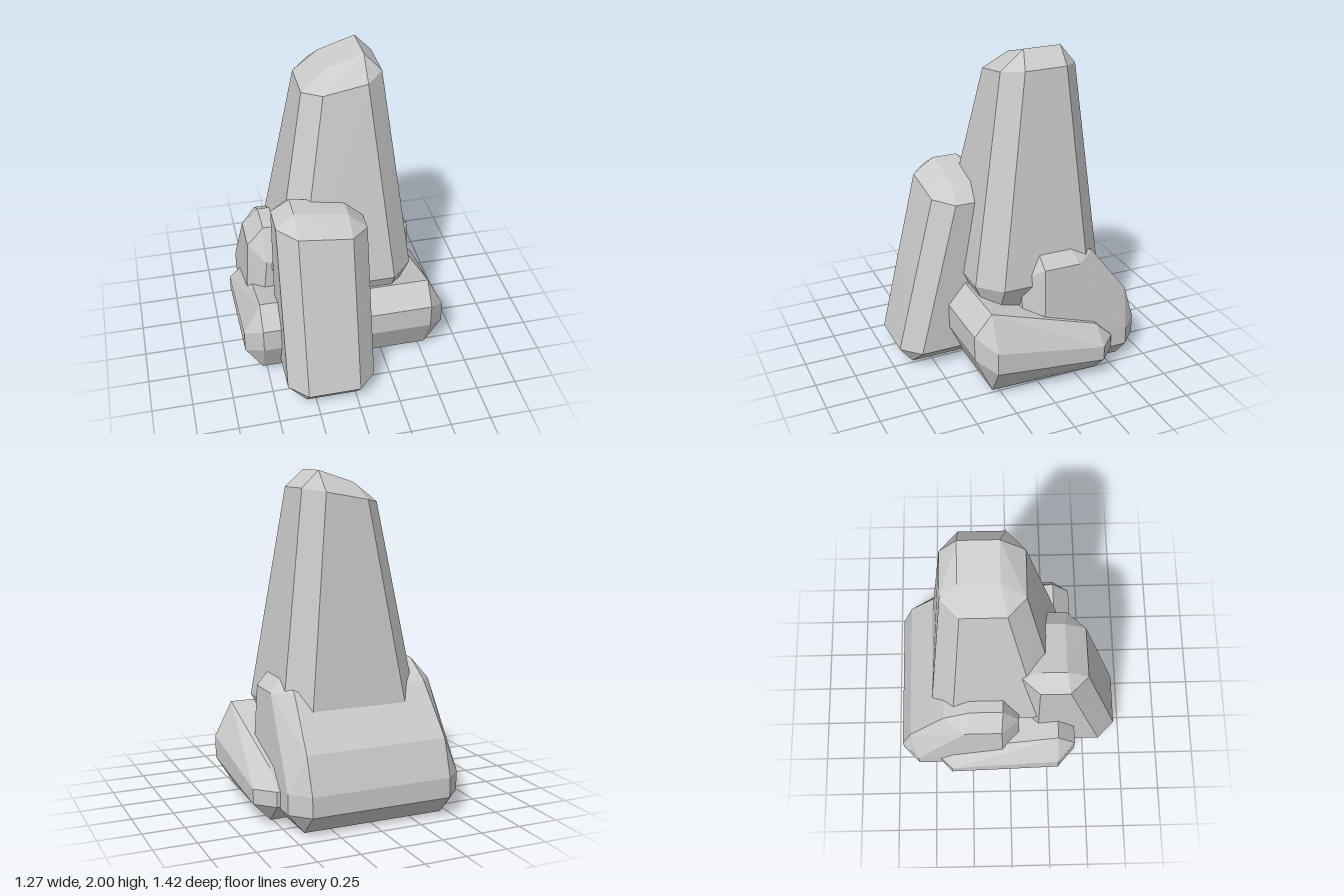
import * as THREE from 'three';
import { ConvexGeometry } from 'three/addons/geometries/ConvexGeometry.js';

const material = new THREE.MeshStandardMaterial({ color: 0xcccccc, flatShading: true });
const heightAt = (y, x, z) => (typeof y === 'function' ? y(x, z) : y);

// Four corners of a flat or sloping face
function face(x0, x1, z0, z1, y) {
  return [[x0, z0], [x1, z0], [x1, z1], [x0, z1]]
    .map(([x, z]) => new THREE.Vector3(x, heightAt(y, x, z), z));
}

// Rectangle with cut corners: c is the cut
function ring(x0, x1, z0, z1, c, y) {
  return [...face(x0 + c, x1 - c, z0, z1, y), ...face(x0, x1, z0 + c, z1 - c, y)];
}

function rock(name, ...sections) {
  const mesh = new THREE.Mesh(new ConvexGeometry(sections.flat()), material);
  mesh.name = name;
  return mesh;
}

export function createModel() {
  const group = new THREE.Group();
  group.name = 'rockFormation';

  // Tall tapering spire
  group.add(rock('tallRock',
    face(-0.04, 0.18, -0.27, -0.04, (x) => 1.943 + 0.32 * x),
    ring(-0.19, 0.28, -0.37, 0.10, 0.105, (x) => 1.85 + 0.18 * x),
    ring(-0.41, 0.44, -0.49, 0.32, 0.13, 0.63),
    face(-0.25, 0.28, -0.34, 0.18, 0.3)));

  // Leaning upright block in front
  group.add(rock('frontRock',
    face(-0.31, 0.01, 0.19, 0.34, (x) => 1.18 - 0.16 * x),
    ring(-0.42, 0.12, 0.07, 0.47, 0.11, (x) => 1.10 - 0.13 * x),
    ring(-0.42, 0.12, 0.08, 0.71, 0.11, 0.12),
    face(-0.31, 0.01, 0.18, 0.63, 0.02)));

  // Wide low slab, thicker toward the front
  const slope = (front, side, back) => (x, z) => (z > 0.4 ? front : z > 0 ? side : back);
  group.add(rock('lowSlab',
    face(-0.53, 0.53, -0.38, 0.31, (x, z) => (z > 0 ? 0.56 : 0.33)),
    ring(-0.635, 0.635, -0.49, 0.42, 0.105, slope(0.43, 0.35, 0.22)),
    ring(-0.635, 0.635, -0.49, 0.42, 0.105, slope(0.28, 0.21, 0.13)),
    face(-0.53, 0.53, -0.38, 0.31, (x, z) => (z > 0 ? 0.04 : 0.02))));

  // Broad rock with a sloping back
  group.add(rock('backRock',
    face(-0.44, 0.39, -0.24, -0.04, (x) => 0.855 - 0.03 * x),
    face(-0.54, 0.485, -0.28, -0.05, 0.74),
    face(-0.44, 0.39, -0.41, 0.06, (x, z) => (z > 0 ? 0.67 : 0.76)),
    face(-0.46, 0.41, -0.64, 0.06, 0.46),
    ring(-0.565, 0.51, -0.71, 0.06, 0.105, (x, z) => (z > -0.5 ? 0.3 : 0.24)),
    ring(-0.565, 0.51, -0.71, 0.06, 0.105, 0.12),
    face(-0.46, 0.41, -0.60, -0.04, 0)));

  return group;
}
